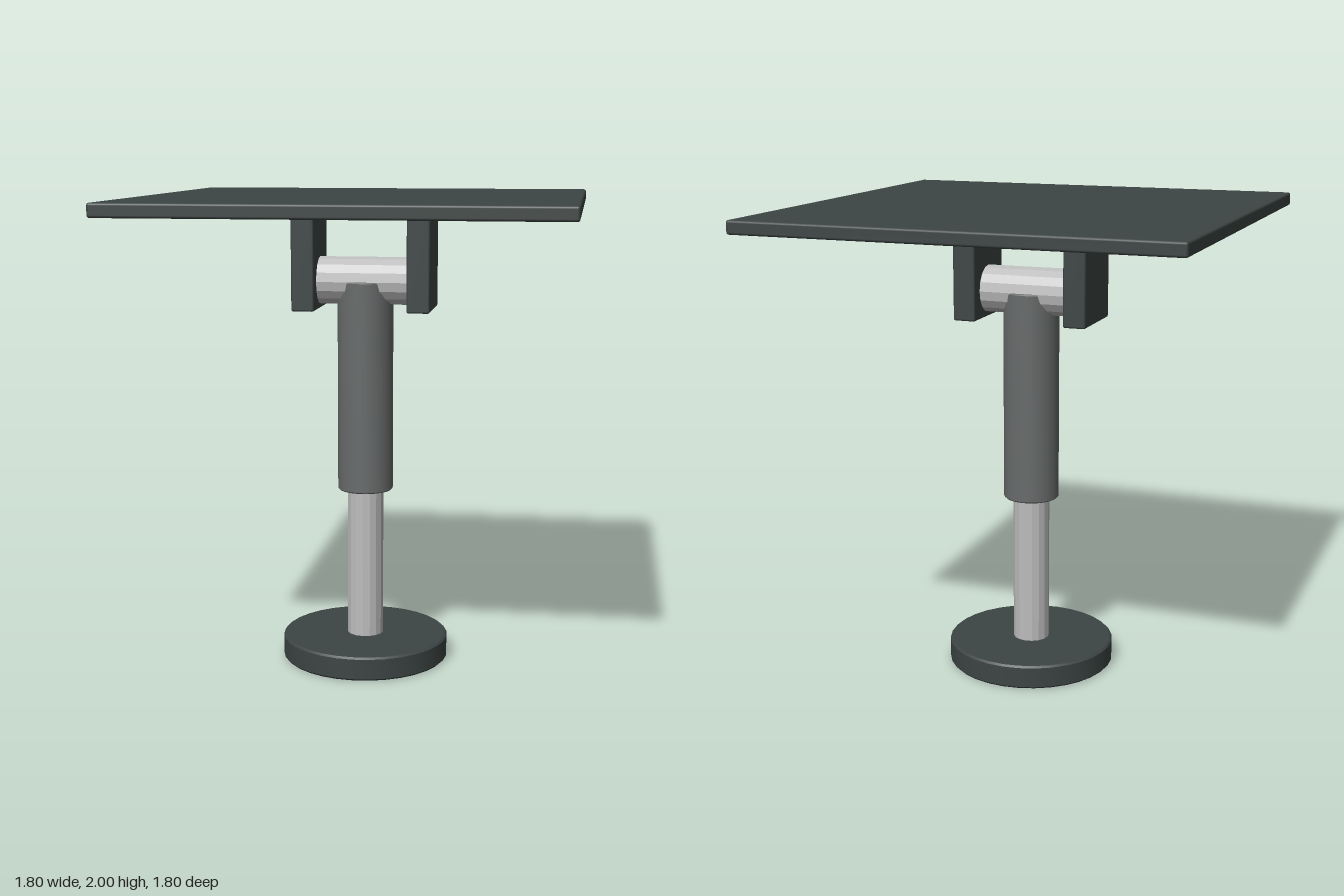
import * as THREE from 'three';
import { toCreasedNormals } from 'three/addons/utils/BufferGeometryUtils.js';
import { RoundedBoxGeometry } from 'three/addons/geometries/RoundedBoxGeometry.js';

export function createModel() {
  const model = new THREE.Group();
  model.name = 'pedestalTable';

  const darkPaint = new THREE.MeshStandardMaterial({ color: 0x3d4544 });
  const greySleeve = new THREE.MeshStandardMaterial({ color: 0x686b6b });
  const paleSteel = new THREE.MeshStandardMaterial({ color: 0xbdbdbd });

  const add = (name, geometry, material, x = 0, y = 0, z = 0) => {
    const mesh = new THREE.Mesh(geometry, material);
    mesh.name = name;
    mesh.position.set(x, y, z);
    model.add(mesh);
    return mesh;
  };

  // Closed disc or column with a small chamfer on both rims
  const turned = (radius, y0, y1, bevel, sides) => {
    const profile = [
      [0, y0], [radius - bevel, y0], [radius, y0 + bevel],
      [radius, y1 - bevel], [radius - bevel, y1], [0, y1],
    ].map(([x, y]) => new THREE.Vector2(x, y));
    return toCreasedNormals(new THREE.LatheGeometry(profile, sides), 0.4);
  };

  // Plain faceted rod
  const rod = (radius, length) =>
    toCreasedNormals(new THREE.CylinderGeometry(radius, radius, length, 16), 0.1);

  // Foot, inner post and outer sleeve
  add('base', turned(0.358, 0, 0.102, 0.008, 32), darkPaint);
  add('innerPost', rod(0.078, 0.74), paleSteel, 0, 0.45);
  add('outerSleeve', turned(0.118, 0.747, 1.645, 0.005, 32), greySleeve);

  // Horizontal pivot between the two brackets
  const pivot = add('pivotPin', rod(0.1, 0.46), paleSteel, 0, 1.645);
  pivot.rotation.z = Math.PI / 2;

  for (const [side, name] of [[1, 'leftBracket'], [-1, 'rightBracket']]) {
    add(name, new RoundedBoxGeometry(0.096, 0.422, 0.314, 2, 0.008), darkPaint, side * 0.241, 1.737);
  }

  // Square top
  add('tabletop', new RoundedBoxGeometry(1.8, 0.056, 1.8, 2, 0.01), darkPaint, 0, 1.972);

  return model;
}
